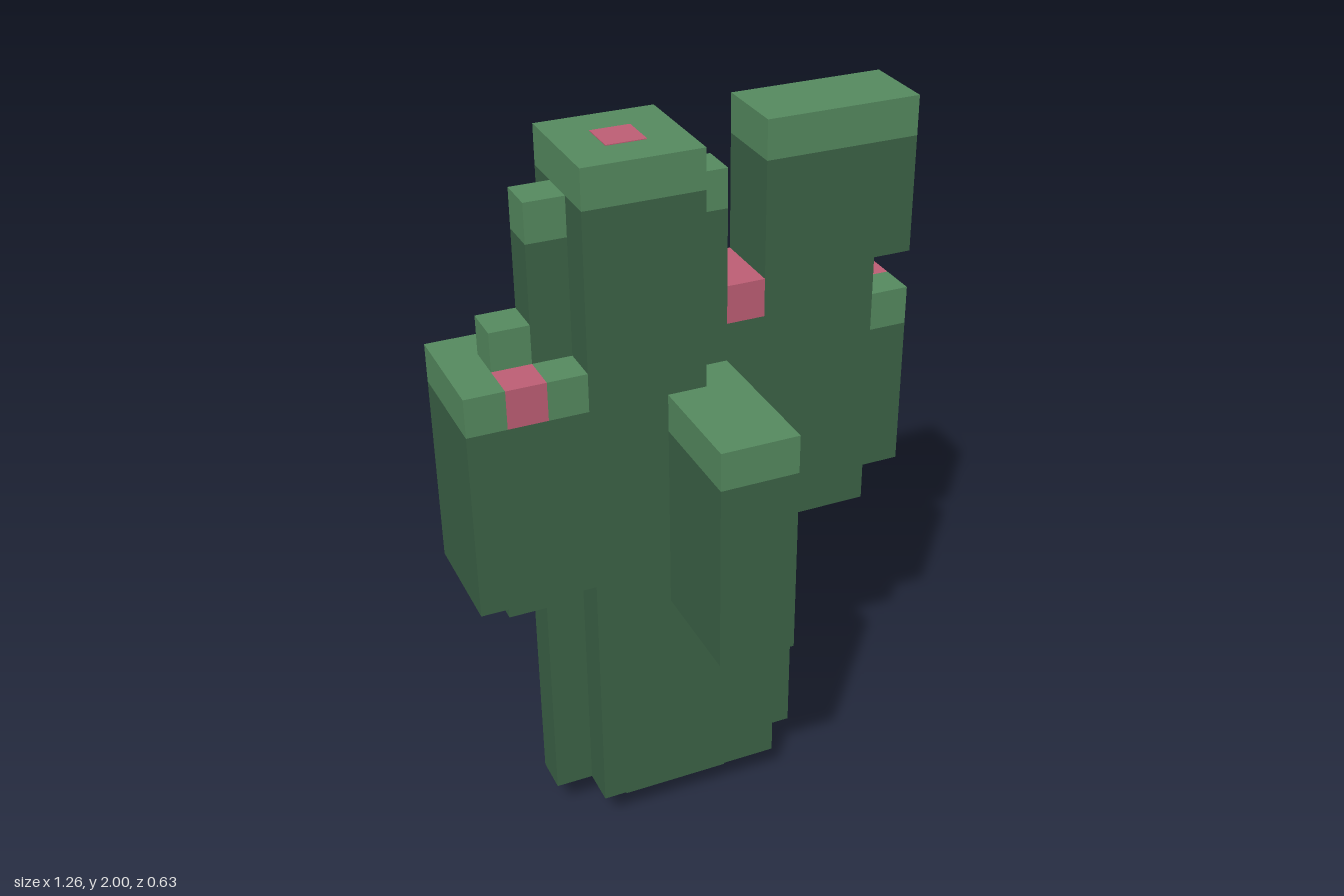
import * as THREE from 'three';

const U = 2 / 19; // one voxel

export function createModel() {
  const root = new THREE.Group();
  root.name = 'floweringCactus';

  const material = (name, color) => {
    const m = new THREE.MeshStandardMaterial({ color });
    m.name = name;
    return m;
  };
  const skin = material('darkGreen', 0x3c6347);
  const tip = material('lightGreen', 0x568b60);
  const flower = material('pink', 0xbf5f75);

  // Box given by its voxel limits on each axis
  const block = (name, mat, [x0, x1], [y0, y1], [z0, z1], parent = root) => {
    const geo = new THREE.BoxGeometry((x1 - x0) * U, (y1 - y0) * U, (z1 - z0) * U);
    const mesh = new THREE.Mesh(geo, mat);
    mesh.position.set((x0 + x1) / 2 * U, (y0 + y1) / 2 * U, (z0 + z1) / 2 * U);
    mesh.name = name;
    parent.add(mesh);
    return mesh;
  };

  // Dark stalk whose top voxel layer is light green
  const stalk = (name, x, [y0, y1], z) => {
    const g = new THREE.Group();
    g.name = name;
    if (y1 - y0 > 1) block(name + 'Body', skin, x, [y0, y1 - 1], z, g);
    block(name + 'Tip', tip, x, [y1 - 1, y1], z, g);
    root.add(g);
  };

  // Foot and trunk
  block('foot', skin, [-2, 1], [0, 1], [-2, -1]);
  block('trunk', skin, [-3, 2], [1, 8], [-3, 0]);
  block('rightRib', skin, [-4, -3], [1, 8], [-2, -1]);
  block('leftRib', skin, [2, 3], [1, 8], [-2, -1]);
  stalk('trunkShoulder', [1, 2], [8, 9], [-1, 0]);

  // Main column, with a recess in its back
  block('columnCore', skin, [-3, -1], [8, 13], [-3, 0]);
  stalk('mainColumn', [-3, 0], [13, 19], [-3, 0]);
  stalk('recessLedge', [-1, 0], [8, 9], [-3, -2]);
  stalk('recessStep', [-1, 0], [8, 10], [-2, -1]);
  stalk('leftColumnRib', [0, 1], [8, 18], [-2, -1]);
  stalk('backRib', [0, 1], [8, 14], [-3, -2]);
  const bloom = block('crownFlower', flower, [-2, -1], [19, 19.04], [-2, -1]);
  bloom.position.y = 19 * U;

  // Front arm
  stalk('frontArm', [-1, 1], [7, 13], [-1, 3]);

  // Left arm with a flower in its crook and one on its side
  block('leftArmJoint', skin, [1, 2], [8, 14], [-3, -1]);
  block('crookFlower', flower, [1, 2], [14, 15], [-3, -1]);
  block('leftArmBase', skin, [2, 5], [8, 15], [-3, -1]);
  stalk('leftArmTop', [2, 6], [15, 19], [-3, -1]);
  block('leftArmSide', skin, [5, 6], [9, 13], [-3, -1]);
  block('leftArmSideTip', tip, [5, 6], [13, 14], [-2, -1]);
  block('leftArmFlower', flower, [5, 6], [13, 14], [-3, -2]);

  // Right arm with a flower on its front edge
  block('rightArmBody', skin, [-6, -3], [8, 13], [-3, 0]);
  block('rightArmTipBack', tip, [-6, -3], [13, 14], [-3, -1]);
  block('rightArmTipOuter', tip, [-6, -5], [13, 14], [-1, 0]);
  block('rightArmFlower', flower, [-5, -4], [13, 14], [-1, 0]);
  block('rightArmTipInner', tip, [-4, -3], [13, 14], [-1, 0]);
  block('rightArmUnderside', skin, [-5, -4], [7, 8], [-2, -1]);
  stalk('rightArmBump', [-5, -4], [14, 15], [-2, -1]);
  stalk('rightColumnRib', [-4, -3], [14, 18], [-2, -1]);

  return root;
}
